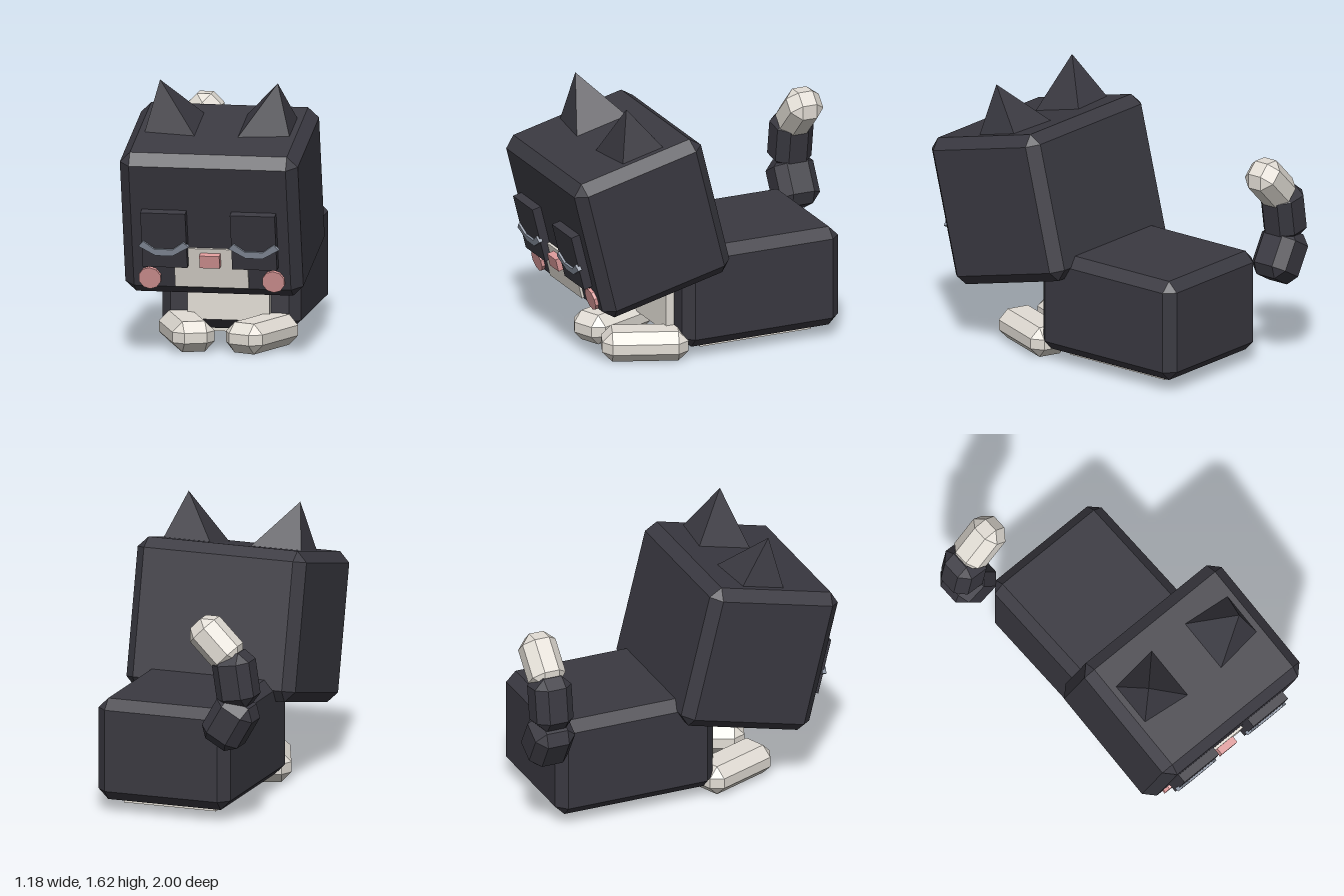
import * as THREE from 'three';
import { ConvexGeometry } from 'three/addons/geometries/ConvexGeometry.js';

const CX = 0.056; // mirror plane of the body

function material(name, color) {
  const m = new THREE.MeshStandardMaterial({ color });
  m.name = name;
  return m;
}

// Box with flat bevels on every edge and corner
function bevelBox(w, h, d, c) {
  const points = [];
  for (const sx of [-1, 1]) for (const sy of [-1, 1]) for (const sz of [-1, 1]) {
    const x = w / 2, y = h / 2, z = d / 2;
    points.push(
      new THREE.Vector3(sx * x, sy * (y - c), sz * (z - c)),
      new THREE.Vector3(sx * (x - c), sy * y, sz * (z - c)),
      new THREE.Vector3(sx * (x - c), sy * (y - c), sz * z));
  }
  return new ConvexGeometry(points);
}

function add(parent, name, geometry, mat, x, y, z) {
  const mesh = new THREE.Mesh(geometry, mat);
  mesh.name = name;
  mesh.position.set(x, y, z);
  parent.add(mesh);
  return mesh;
}

// Leaning four-sided pyramid; side is 1 for left, -1 for right
function earGeometry(side) {
  const roof = (z) => 1.235 + (0.955 - z) * 0.248;
  const corners = [[0.436, 0.398], [0.122, 0.366], [0.122, 0.703], [0.436, 0.668]];
  const points = corners.map(([x, z]) => new THREE.Vector3(side * x, roof(z), z));
  points.push(new THREE.Vector3(side * 0.352, 1.623, 0.605));
  return new ConvexGeometry(points);
}

// Shallow U of a closed eyelid
function eyelidGeometry() {
  const shape = new THREE.Shape([
    [-0.15, -0.1], [-0.05, -0.157], [0.05, -0.157], [0.15, -0.1],
    [0.12, -0.068], [0.055, -0.117], [-0.055, -0.117], [-0.12, -0.068],
  ].map(([x, y]) => new THREE.Vector2(x, y)));
  return new THREE.ExtrudeGeometry(shape, { depth: 0.025, bevelEnabled: false });
}

export function createModel() {
  const model = new THREE.Group();
  model.name = 'cat';
  const fur = material('dark fur', 0x3a3941);
  const cream = material('cream fur', 0xe2ddd5);
  const pink = material('pink skin', 0xdd9a9a);
  const grey = material('eyelid grey', 0x8a92a0);

  // Body with cream chest and underside
  add(model, 'body', bevelBox(0.83, 0.615, 1.015, 0.06), fur, CX, 0.378, -0.263);
  add(model, 'chest', new THREE.BoxGeometry(0.49, 0.46, 0.08), cream, CX, 0.37, 0.255);
  add(model, 'belly', new THREE.BoxGeometry(0.58, 0.05, 0.72), cream, CX, 0.06, -0.265);

  // Head, tipped forward
  const head = new THREE.Group();
  head.name = 'head';
  head.position.set(CX, 0.9, 0.495);
  head.rotation.x = 0.243;
  model.add(head);
  add(head, 'skull', bevelBox(1.065, 0.893, 0.85, 0.063), fur, 0, 0, 0);
  add(head, 'muzzle', new THREE.BoxGeometry(0.44, 0.247, 0.04), cream, 0, -0.252, 0.42);
  add(head, 'nose', new THREE.BoxGeometry(0.12, 0.078, 0.07), pink, 0, -0.194, 0.449);

  const disc = new THREE.CylinderGeometry(0.068, 0.068, 0.04, 10).rotateX(Math.PI / 2).toNonIndexed();
  disc.computeVertexNormals();

  for (const side of [1, -1]) {
    const label = side > 0 ? 'left' : 'right';

    // Face details
    add(head, label + 'EyePatch', new THREE.BoxGeometry(0.268, 0.346, 0.08), fur, side * 0.268, -0.063, 0.44);
    add(head, label + 'Eyelid', eyelidGeometry(), grey, side * 0.27, 0, 0.468);
    add(head, label + 'Cheek', disc, pink, side * 0.37, -0.326, 0.425);

    // Ears
    add(model, label + 'Ear', earGeometry(side), fur, CX, 0, 0);

    // Front paws, toes turned in
    const paw = add(model, label + 'Paw', bevelBox(0.255, 0.182, 0.51, 0.06), cream, CX + side * 0.225, 0.091, 0.425);
    paw.rotation.y = -side * 0.385;
  }

  // Tail: three bent segments with a cream tip
  const tail = new THREE.Group();
  tail.name = 'tail';
  model.add(tail);
  const segments = [
    ['tailBase', fur, 0.255, 0.31, -0.425, 0.665, 0.52],
    ['tailMiddle', fur, 0.235, 0.33, -0.458, 0.925, -0.15],
    ['tailTip', cream, 0.212, 0.33, -0.335, 1.135, -0.785],
  ];
  for (const [name, mat, width, length, x, y, turn] of segments) {
    add(tail, name, bevelBox(width, length, width, 0.06), mat, x, y, -0.872).rotation.z = turn;
  }
  return model;
}
